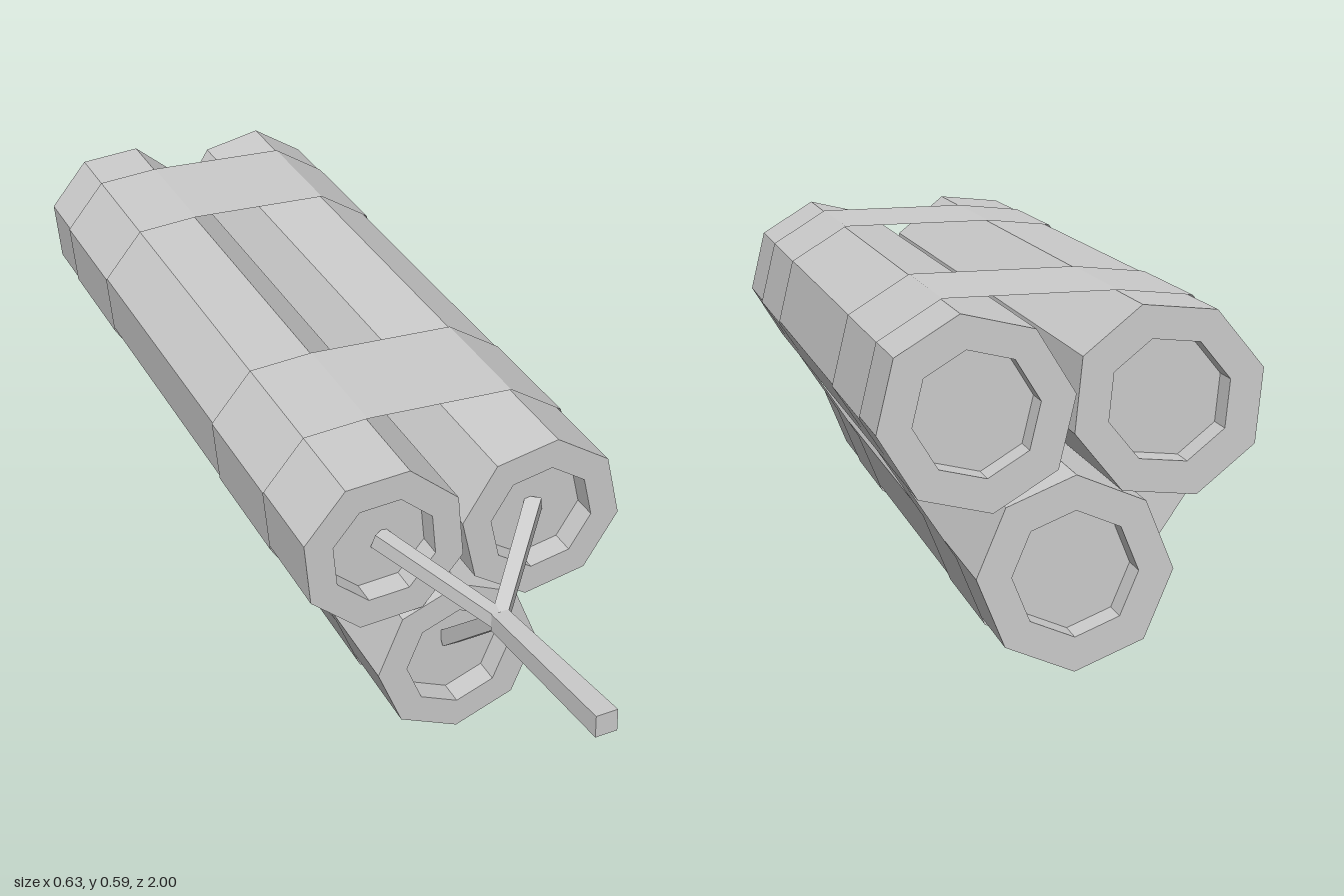
import * as THREE from 'three';

const BACK = -1, FRONT = 0.5, RADIUS = 0.16, INNER = 0.103, RECESS = 0.05;

// Octagonal sticks: centre, turn about z, and the corners the straps wrap (degrees)
const STICKS = [
  { name: 'rightStick', x: -0.157, y: 0.435, turn: 28, wrap: [73, 118, 163, 208] },
  { name: 'bottomStick', x: -0.008, y: 0.163, turn: 0, wrap: [180, 225, 270, 315, 360] },
  { name: 'leftStick', x: 0.1515, y: 0.4255, turn: 35.5, wrap: [-9.5, 35.5, 80.5] },
];

const rad = THREE.MathUtils.degToRad;

// Octagonal body with a shallow recess in each end
function stickGeometry(turn) {
  const profile = [
    [0, BACK + RECESS], [INNER, BACK + RECESS], [INNER, BACK], [RADIUS, BACK],
    [RADIUS, FRONT], [INNER, FRONT], [INNER, FRONT - RECESS], [0, FRONT - RECESS],
  ].map(([r, h]) => new THREE.Vector2(r, h));
  return new THREE.LatheGeometry(profile, 8).rotateX(Math.PI / 2).rotateZ(rad(turn));
}

// Open strap stretched around the outline of all three sticks
function strapGeometry(z0, z1) {
  const r = RADIUS + 0.003;
  const outline = STICKS.flatMap(s => s.wrap.map(a =>
    [s.x + r * Math.cos(rad(a)), s.y + r * Math.sin(rad(a))]));
  const positions = [], index = [], n = outline.length;
  outline.forEach(([x, y], i) => {
    positions.push(x, y, z0, x, y, z1);
    const a = 2 * i, b = 2 * ((i + 1) % n);
    index.push(a, b, b + 1, a, b + 1, a + 1);
  });
  const g = new THREE.BufferGeometry();
  g.setAttribute('position', new THREE.Float32BufferAttribute(positions, 3));
  g.setIndex(index);
  g.computeVertexNormals();
  return g;
}

// Square bar between two points, with its own width at each end
function bar(name, from, to, w0, w1, material) {
  const k = Math.SQRT1_2, length = from.distanceTo(to);
  const g = new THREE.CylinderGeometry(w1 * k, w0 * k, length, 4)
    .rotateY(Math.PI / 4).rotateX(Math.PI / 2);
  const mesh = new THREE.Mesh(g, material);
  mesh.name = name;
  mesh.position.copy(from).lerp(to, 0.5);
  mesh.lookAt(to);
  return mesh;
}

export function createModel() {
  const model = new THREE.Group();
  model.name = 'stickBundle';
  const grey = new THREE.MeshStandardMaterial({ color: 0xcccccc, flatShading: true });
  const thin = new THREE.MeshStandardMaterial({
    color: 0xcccccc, flatShading: true, side: THREE.DoubleSide,
  });

  for (const s of STICKS) {
    const stick = new THREE.Mesh(stickGeometry(s.turn), grey);
    stick.name = s.name;
    stick.position.set(s.x, s.y, 0);
    model.add(stick);
  }

  // Two straps
  for (const [name, z0, z1] of [['frontStrap', 0.045, 0.312], ['backStrap', -0.87, -0.602]]) {
    const strap = new THREE.Mesh(strapGeometry(z0, z1), thin);
    strap.name = name;
    model.add(strap);
  }

  // Fuse: one stem splitting into a branch for each stick
  const fuse = new THREE.Group();
  fuse.name = 'fuse';
  const joint = new THREE.Vector3(-0.006, 0.345, 0.655);
  fuse.add(bar('fuseStem', joint, new THREE.Vector3(0.018, 0.358, 0.998), 0.034, 0.042, grey));
  const ends = [['rightBranch', -0.15, 0.431], ['bottomBranch', -0.005, 0.172], ['leftBranch', 0.161, 0.427]];
  for (const [name, x, y] of ends) {
    fuse.add(bar(name, joint, new THREE.Vector3(x, y, FRONT - RECESS), 0.027, 0.03, grey));
  }
  model.add(fuse);

  return model;
}
